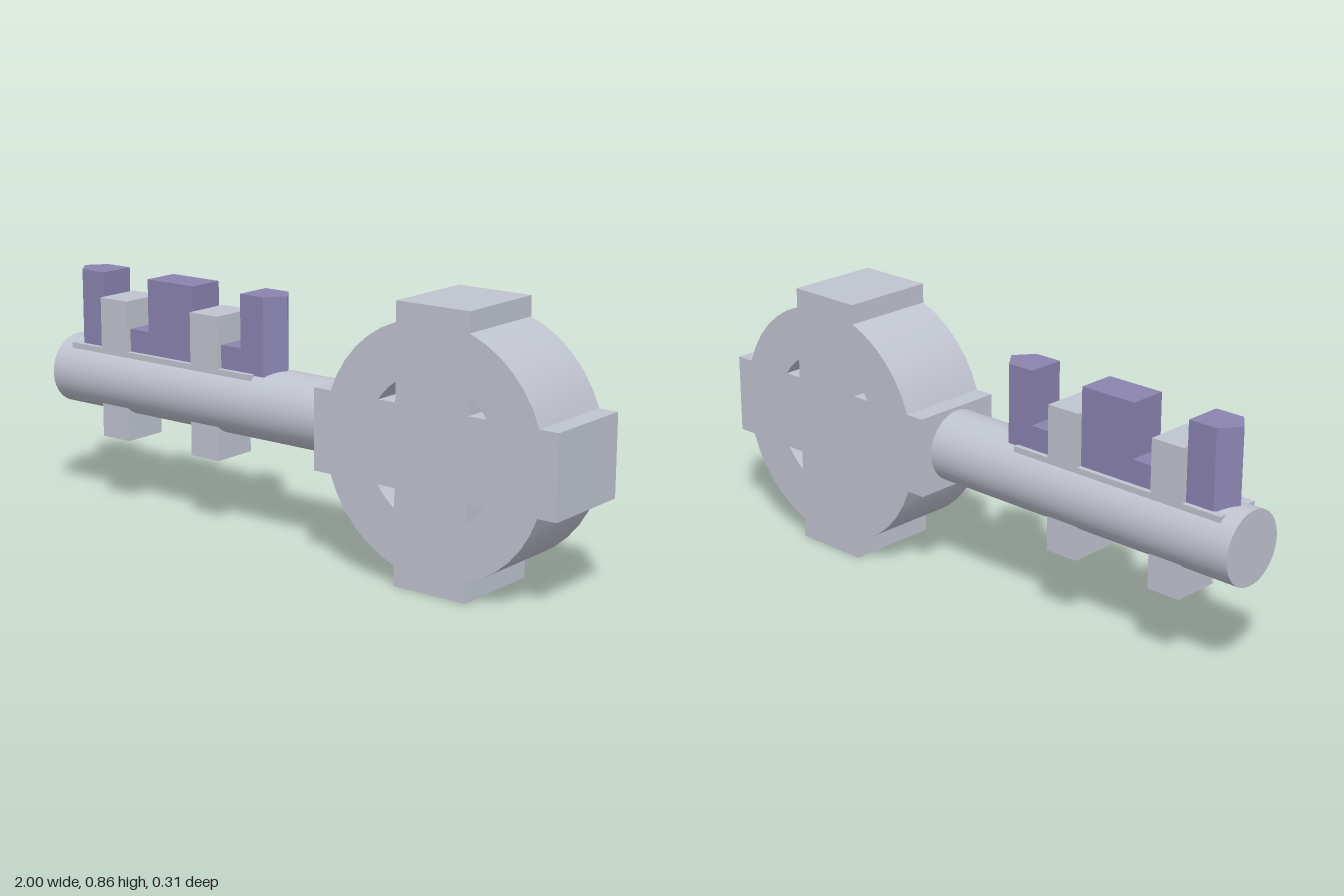
import * as THREE from 'three';
import { toCreasedNormals } from 'three/addons/utils/BufferGeometryUtils.js';

const grey = new THREE.MeshStandardMaterial({ color: 0xc0c4cf });
grey.name = 'pale grey';
const purple = new THREE.MeshStandardMaterial({ color: 0x8a84b0 });
purple.name = 'dusty purple';

export function createModel() {
  const model = new THREE.Group();
  const axisY = 0.43;

  const add = (name, geometry, material, x = 0, y = 0, z = 0) => {
    const mesh = new THREE.Mesh(geometry, material);
    mesh.name = name;
    mesh.position.set(x, y, z);
    model.add(mesh);
    return mesh;
  };
  const box = (name, material, x0, x1, y0, y1, halfZ) =>
    add(name, new THREE.BoxGeometry(x1 - x0, y1 - y0, halfZ * 2), material, (x0 + x1) / 2, (y0 + y1) / 2);

  // Points on a circle between the two arm edges of one quadrant
  const arm = 0.128;
  const quadrantArc = (radius, steps, quadrant) => {
    const start = Math.asin(arm / radius);
    const sweep = Math.PI / 2 - 2 * start;
    return Array.from({ length: steps + 1 }, (_, i) => {
      const a = quadrant * Math.PI / 2 + start + sweep * i / steps;
      return new THREE.Vector2(Math.cos(a) * radius, Math.sin(a) * radius);
    });
  };
  const turned = (x, y, quadrant) =>
    new THREE.Vector2(x, y).rotateAround(new THREE.Vector2(), quadrant * Math.PI / 2);

  // Round bow with four square arms and four small corner holes
  const reach = 0.428, depth = 0.31;
  const outline = [], holes = [];
  for (let q = 0; q < 4; q++) {
    outline.push(turned(reach, -arm, q), turned(reach, arm, q), ...quadrantArc(0.387, 6, q));
    holes.push(new THREE.Path([turned(arm, arm, q), ...quadrantArc(0.229, 3, q)]));
  }
  const bowShape = new THREE.Shape(outline);
  bowShape.holes = holes;
  const bow = new THREE.ExtrudeGeometry(bowShape, { depth, bevelEnabled: false });
  add('bow', toCreasedNormals(bow, 0.45), grey, 0.572, axisY - 0.002, -depth / 2);

  // Round shaft
  const shaft = new THREE.CylinderGeometry(0.115, 0.115, 1.2, 48);
  add('shaft', shaft, grey, -0.4, axisY).rotation.z = Math.PI / 2;

  // Flat bed on the shaft and the two posts passing through it
  box('bed', grey, -0.945, -0.17, 0.5, 0.533, 0.078);
  for (const x of [-0.81, -0.42]) box('post', grey, x, x + 0.115, 0.235, 0.7, 0.078);

  // Pointed end teeth: plan outline extruded upward
  const halfZ = 0.061, base = 0.528, top = 0.78;
  const pointedTooth = (name, inner, shoulder, tip) => {
    const plan = new THREE.Shape([
      new THREE.Vector2(inner, -halfZ), new THREE.Vector2(shoulder, -halfZ),
      new THREE.Vector2(tip, 0),
      new THREE.Vector2(shoulder, halfZ), new THREE.Vector2(inner, halfZ),
    ]);
    const geometry = new THREE.ExtrudeGeometry(plan, { depth: top - base, bevelEnabled: false });
    add(name, geometry.rotateX(-Math.PI / 2), purple, 0, base);
  };
  pointedTooth('outerTooth', -0.81, -0.907, -0.955);
  pointedTooth('innerTooth', -0.225, -0.132, -0.085);

  // Middle tooth and the low steps beside the posts
  box('middleTooth', purple, -0.615, -0.42, base, top, halfZ);
  box('step', purple, -0.695, -0.615, base, 0.608, halfZ);
  box('step', purple, -0.305, -0.225, base, 0.608, halfZ);

  return model;
}
